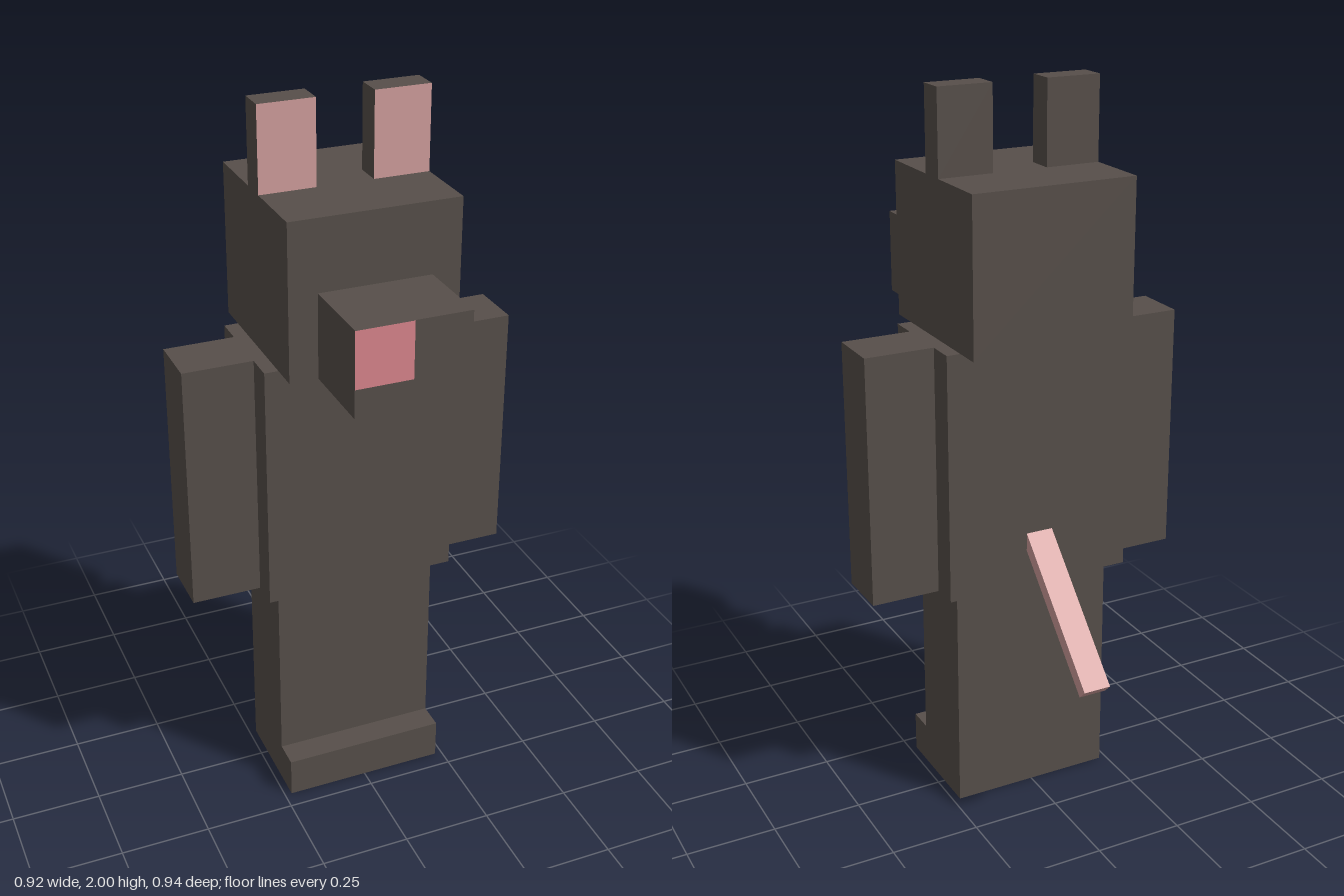
import * as THREE from 'three';

const mat = (name, color) => {
  const m = new THREE.MeshStandardMaterial({ color });
  m.name = name;
  return m;
};

export function createModel() {
  const fur = mat('dark fur', 0x574f4a);
  const pink = mat('pale pink skin', 0xd3a09e);
  const nosePink = mat('nose pink', 0xdb868e);
  const model = new THREE.Group();
  model.name = 'mouseFigure';

  // Box given by its lower and upper limits on each axis
  const block = (name, [x0, x1], [y0, y1], [z0, z1], material = fur) => {
    const mesh = new THREE.Mesh(new THREE.BoxGeometry(x1 - x0, y1 - y0, z1 - z0), material);
    mesh.position.set((x0 + x1) / 2, (y0 + y1) / 2, (z0 + z1) / 2);
    mesh.name = name;
    model.add(mesh);
    return mesh;
  };

  // Legs and feet
  block('legs', [-0.23, 0.23], [0, 0.656], [-0.104, 0.125]);
  block('feet', [-0.23, 0.23], [0, 0.115], [0.125, 0.201]);

  // Torso and head
  block('torso', [-0.268, 0.268], [0.656, 1.35], [-0.145, 0.163]);
  block('head', [-0.23, 0.23], [1.35, 1.773], [-0.222, 0.24]);
  block('snout', [-0.153, 0.153], [1.35, 1.58], [0.24, 0.469]);
  block('nose', [-0.153, 0], [1.427, 1.58], [0.468, 0.471], [fur, fur, fur, fur, nosePink, fur]);

  // Arms, and ears with a pink front face
  for (const [side, s] of [['left', 1], ['right', -1]]) {
    const span = (a, b) => (s > 0 ? [a, b] : [-b, -a]);
    block(side + 'Arm', span(0.268, 0.46), [0.656, 1.35], [-0.068, 0.085]);
    block(side + 'Ear', span(0.077, 0.23), [1.773, 2], [-0.03, 0.045],
      [fur, fur, fur, fur, pink, fur]);
  }

  // Tail sloping down and back at 45 degrees
  const tail = new THREE.Mesh(new THREE.BoxGeometry(0.077, 0.036, 0.46), pink);
  tail.name = 'tail';
  tail.rotation.x = -Math.PI / 4;
  tail.position.set(0, 0.635, -0.295);
  model.add(tail);

  return model;
}
